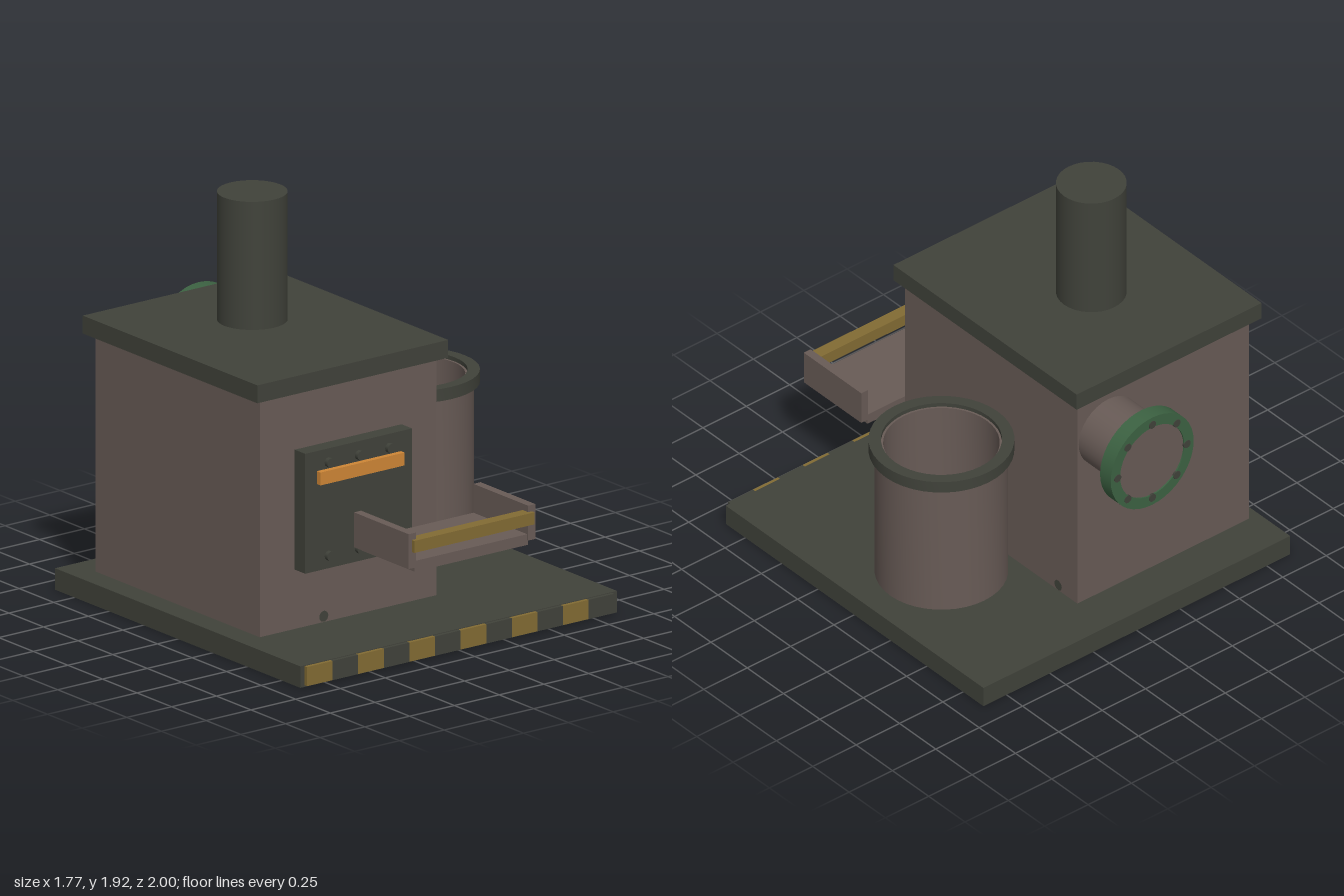
import * as THREE from 'three';
import { toCreasedNormals } from 'three/addons/utils/BufferGeometryUtils.js';

const material = (name, color) => {
  const m = new THREE.MeshStandardMaterial({ color });
  m.name = name;
  return m;
};

export function createModel() {
  const model = new THREE.Group();
  model.name = 'furnace';
  const iron = material('dark iron', 0x40423a);
  const brown = material('brown metal', 0x685b56);
  const yellow = material('hazard yellow', 0x826b33);
  const orange = material('hot orange', 0xce8636);
  const green = material('flange green', 0x3c6242);
  const blue = material('water blue', 0x5789a4);

  const add = (name, geometry, mat, x = 0, y = 0, z = 0) => {
    const mesh = new THREE.Mesh(geometry, mat);
    mesh.name = name;
    mesh.position.set(x, y, z);
    model.add(mesh);
    return mesh;
  };
  // Box given by its lower and upper limits on each axis
  const box = (name, mat, x0, x1, y0, y1, z0, z1) =>
    add(name, new THREE.BoxGeometry(x1 - x0, y1 - y0, z1 - z0), mat,
      (x0 + x1) / 2, (y0 + y1) / 2, (z0 + z1) / 2);
  // Cylinder lying along z
  const rod = (name, mat, r, x, y, z0, z1, sides = 32) => {
    const mesh = add(name, new THREE.CylinderGeometry(r, r, z1 - z0, sides), mat, x, y, (z0 + z1) / 2);
    mesh.rotation.x = Math.PI / 2;
    return mesh;
  };
  const lathe = (points) => toCreasedNormals(
    new THREE.LatheGeometry(points.map(([r, y]) => new THREE.Vector2(r, y)), 40), 0.6);
  // Closed ring with a rectangular section
  const ring = (inner, outer, y0, y1) =>
    lathe([[inner, y0], [outer, y0], [outer, y1], [inner, y1], [inner, y0]]);

  // Base plate with a striped front edge
  box('base', iron, -0.885, 0.883, 0, 0.1, -0.89, 0.885);
  const tile = 0.143;
  for (let i = 0; i < 12; i++) {
    const x = -0.862 + i * tile;
    box('edgeStripe', i % 2 ? iron : yellow, x, x + tile, 0.008, 0.097, 0.885, 0.903);
  }

  // Furnace body, roof and chimney
  box('body', brown, -0.81, 0.178, 0.12, 1.222, -0.694, 0.494);
  box('roof', iron, -0.85, 0.216, 1.224, 1.307, -0.735, 0.528);
  add('chimney', new THREE.CylinderGeometry(0.157, 0.157, 0.595, 32), iron, -0.316, 1.62, -0.2);

  // Door with handle and two rows of bolts
  box('door', iron, -0.615, -0.018, 0.396, 0.953, 0.494, 0.57);
  box('doorGlow', orange, -0.55, -0.08, 0.8, 0.86, 0.57, 0.596);
  for (const y of [0.89, 0.456]) {
    for (const x of [-0.485, -0.316, -0.147]) rod('doorBolt', iron, 0.022, x, y, 0.565, 0.59, 12);
  }

  // Feeding tray
  box('trayFloor', brown, -0.316, 0.316, 0.45, 0.5, 0.586, 0.975);
  for (const x of [-0.335, 0.332]) {
    box('traySide', brown, x - 0.02, x + 0.02, 0.472, 0.634, 0.586, 0.982);
  }
  box('trayLip', yellow, -0.338, 0.334, 0.548, 0.604, 0.942, 1.0);

  // Hollow barrel with rim and water
  const bx = 0.548, bz = -0.2;
  add('barrel', lathe([[0, 0.2], [0.296, 0.2], [0.296, 0.9], [0.258, 0.9], [0.258, 0.24], [0, 0.24]]),
    brown, bx, 0, bz);
  add('barrelRim', ring(0.268, 0.323, 0.862, 0.919), iron, bx, 0, bz);
  const water = add('water', new THREE.CircleGeometry(0.258, 40), blue, bx, 0.5, bz);
  water.rotation.x = -Math.PI / 2;

  // Rear outlet pipe with a bolted flange
  const py = 0.988;
  rod('outletPipe', brown, 0.17, 0, py, -0.99, -0.69);
  rod('outletCover', brown, 0.19, 0, py, -0.99, -0.935);
  const flange = add('flange', ring(0.185, 0.239, -0.037, 0.037), green, 0, py, -0.96);
  flange.rotation.x = Math.PI / 2;
  for (let i = 0; i < 8; i++) {
    const a = i * Math.PI / 4;
    rod('flangeBolt', iron, 0.02, 0.2 * Math.cos(a), py + 0.2 * Math.sin(a), -1.0, -0.918, 10);
  }

  // Small worn patches on the metal
  const patch = (mat, x, y, z, turn) => {
    const mesh = add('wornPatch', new THREE.CircleGeometry(0.026, 9), mat, x, y, z);
    mesh.rotation.y = turn;
  };
  patch(iron, -0.455, 0.148, 0.497, 0);
  patch(iron, 0.181, 0.16, 0.43, Math.PI / 2);
  patch(iron, 0.181, 0.15, -0.565, Math.PI / 2);

  return model;
}
